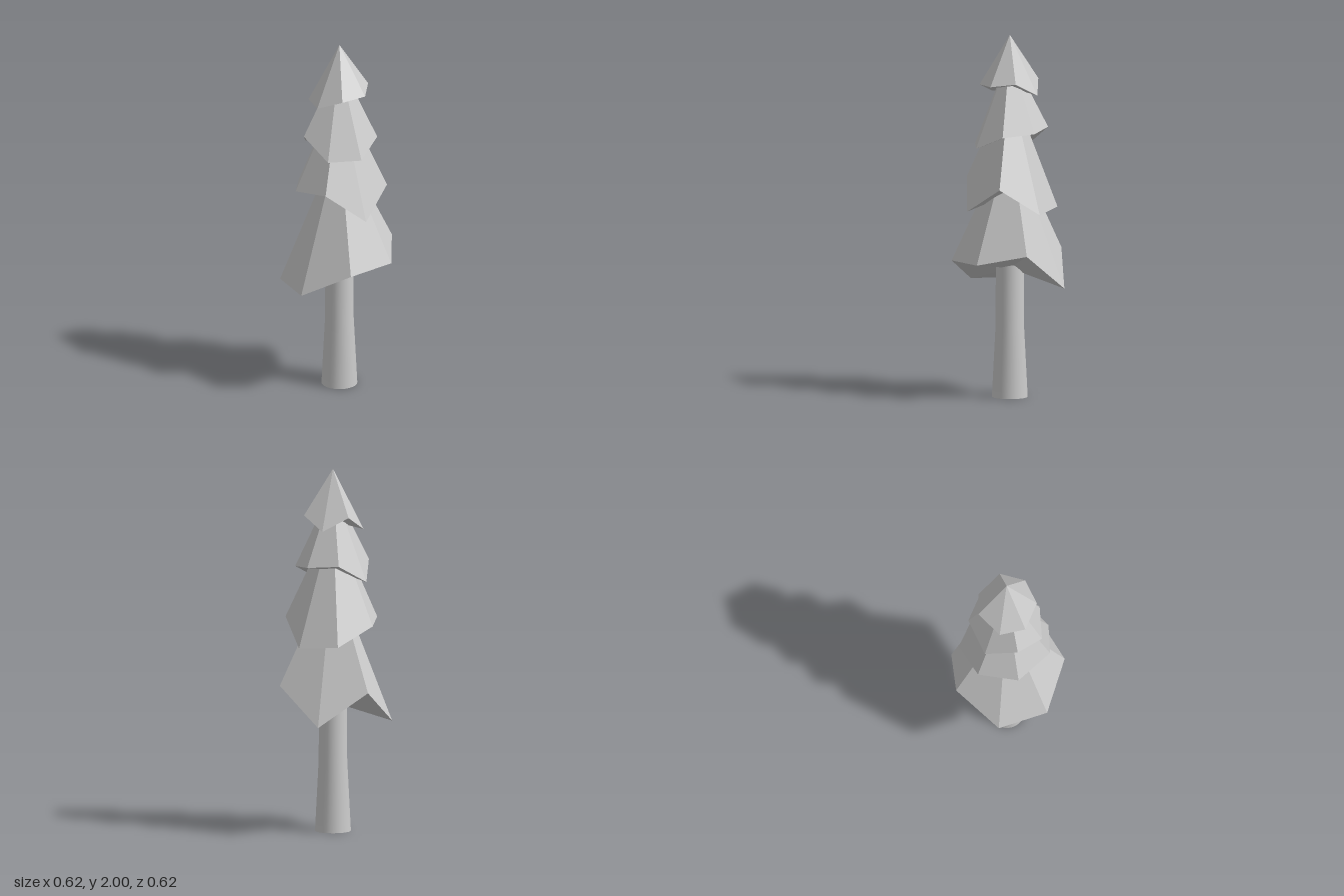
import * as THREE from 'three';

const CX = -0.005, CZ = -0.008; // trunk axis

// Each tier: apex height, underside centre height, and seven jagged rim points [x, y, z]
const TIERS = [
  { name: 'bottomBranches', apex: 1.45, base: 0.71, rim: [
    [-0.11, 0.615, -0.31], [0.165, 0.82, -0.275], [0.31, 0.765, -0.04], [0.215, 0.755, 0.222],
    [-0.05, 0.615, 0.31], [-0.283, 0.61, 0.158], [-0.31, 0.8, -0.118]] },
  { name: 'lowerBranches', apex: 1.74, base: 1.12, rim: [
    [-0.172, 1.05, -0.208], [0.045, 1.035, -0.265], [0.225, 1.18, -0.13], [0.233, 1.04, 0.095],
    [0.063, 1.205, 0.24], [-0.158, 1.17, 0.197], [-0.263, 1.15, -0.003]] },
  { name: 'upperBranches', apex: 1.9, base: 1.44, rim: [
    [-0.147, 1.49, -0.162], [0.027, 1.475, -0.212], [0.175, 1.46, -0.11], [0.187, 1.385, 0.07],
    [0.05, 1.385, 0.195], [-0.125, 1.49, 0.165], [-0.215, 1.39, 0.007]] },
  { name: 'topBranches', apex: 2, base: 1.71, rim: [
    [-0.045, 1.675, -0.172], [0.098, 1.75, -0.138], [0.16, 1.73, -0.01], [0.097, 1.725, 0.122],
    [-0.045, 1.67, 0.155], [-0.158, 1.67, 0.065], [-0.158, 1.75, -0.082]] },
];

// Faceted cone over an uneven rim, closed underneath
function branchTier({ name, apex, base, rim }, material) {
  const top = [CX, apex, CZ], bottom = [CX, base, CZ];
  const positions = [];
  rim.forEach((p, i) => {
    const next = rim[(i + 1) % rim.length];
    positions.push(...top, ...next, ...p, ...bottom, ...p, ...next);
  });
  const geometry = new THREE.BufferGeometry();
  geometry.setAttribute('position', new THREE.Float32BufferAttribute(positions, 3));
  geometry.computeVertexNormals();
  const mesh = new THREE.Mesh(geometry, material);
  mesh.name = name;
  return mesh;
}

// Smooth trunk flaring towards the foot
function trunk(material) {
  const group = new THREE.Group();
  group.name = 'trunk';
  const profile = [[0.098, 0], [0.078, 0.39], [0.076, 0.85]].map(([r, y]) => new THREE.Vector2(r, y));
  const side = new THREE.Mesh(new THREE.LatheGeometry(profile, 32), material);
  side.name = 'trunkSide';
  const foot = new THREE.Mesh(new THREE.CircleGeometry(0.098, 32).rotateX(Math.PI / 2), material);
  foot.name = 'trunkFoot';
  group.add(side, foot);
  group.position.set(CX, 0, CZ);
  return group;
}

export function createModel() {
  const model = new THREE.Group();
  model.name = 'pineTree';
  const bark = new THREE.MeshStandardMaterial({ color: 0xcccccc });
  const foliage = new THREE.MeshStandardMaterial({ color: 0xcccccc, flatShading: true });
  model.add(trunk(bark));
  TIERS.forEach((tier) => model.add(branchTier(tier, foliage)));
  return model;
}
